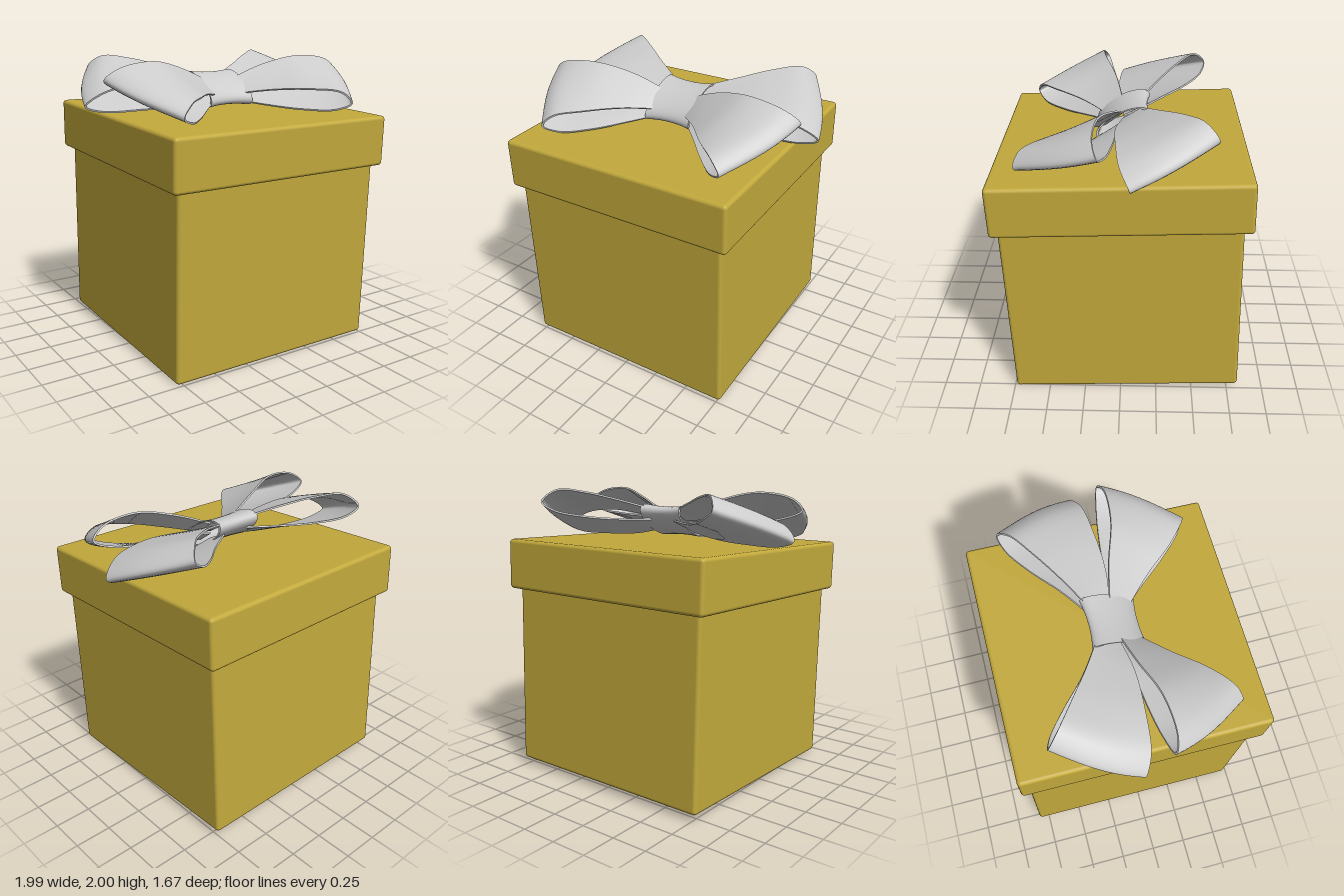
import * as THREE from 'three';
import { toCreasedNormals } from 'three/addons/utils/BufferGeometryUtils.js';
import { RoundedBoxGeometry } from 'three/addons/geometries/RoundedBoxGeometry.js';

const gold = new THREE.MeshStandardMaterial({ color: 0xc2a93c });
const ribbon = new THREE.MeshStandardMaterial({ color: 0xcccccc, side: THREE.DoubleSide });
const BOX_TILT = 0.033;
const KNOT_TILT = 0.49;

function add(parent, name, geometry, material) {
  const mesh = new THREE.Mesh(geometry, material);
  mesh.name = name;
  parent.add(mesh);
  return mesh;
}

// Rounded box, tipped slightly towards the front
function addBox(parent, name, size, centre) {
  const box = add(parent, name, new RoundedBoxGeometry(...size, 4, 0.025), gold);
  box.position.set(...centre);
  box.rotation.x = BOX_TILT;
}

// Ribbon band stretched between two edge curves, with a little thickness
function ribbonLoop(frontEdge, backEdge) {
  const [front, back] = [frontEdge, backEdge].map(
    (pts) => new THREE.CatmullRomCurve3(pts.map((p) => new THREE.Vector3(...p)), false, 'centripetal'));
  const along = 56, across = 10, half = 0.006, ring = 2 * (across + 1);
  const at = (t, s) => {
    const p = front.getPoint(t).lerp(back.getPoint(t), s);
    p.x *= 1 + 0.04 * Math.sin(Math.PI * s) * Math.sin(Math.PI * t);
    return p;
  };
  const normalAt = (t, s) => {
    const e = 0.004;
    const dt = at(Math.min(t + e, 1), s).sub(at(Math.max(t - e, 0), s));
    const ds = at(t, Math.min(s + e, 1)).sub(at(t, Math.max(s - e, 0)));
    return dt.cross(ds).normalize();
  };
  const positions = [], index = [];
  for (let i = 0; i <= along; i++) {
    for (let k = 0; k < ring; k++) {
      const outer = k <= across;
      const s = (outer ? k : ring - 1 - k) / across;
      const t = i / along;
      const p = at(t, s).addScaledVector(normalAt(t, s), outer ? half : -half);
      positions.push(p.x, p.y, p.z);
      if (i === along) continue;
      const a = i * ring + k, b = i * ring + (k + 1) % ring;
      index.push(a, a + ring, b, b, a + ring, b + ring);
    }
  }
  const geometry = new THREE.BufferGeometry();
  geometry.setAttribute('position', new THREE.Float32BufferAttribute(positions, 3));
  geometry.setIndex(index);
  return toCreasedNormals(geometry, 0.9);
}

// Flared oval band wrapped around the middle of the bow
function knotBand() {
  const profile = [];
  const steps = 10;
  for (let i = 0; i <= steps; i++) {
    const v = (i / steps) * 2 - 1;
    profile.push(new THREE.Vector2(0.9 + 0.1 * v * v, v * 0.17));
  }
  for (let i = steps; i >= 0; i--) {
    const p = profile[i];
    profile.push(new THREE.Vector2(p.x - 0.1, p.y));
  }
  profile.push(profile[0].clone());
  const geometry = new THREE.LatheGeometry(profile, 48);
  geometry.scale(0.078, 1, 0.2);
  geometry.rotateZ(Math.PI / 2);
  geometry.rotateX(KNOT_TILT);
  return toCreasedNormals(geometry, 0.7);
}

export function createModel() {
  const model = new THREE.Group();
  model.name = 'giftBox';

  addBox(model, 'boxBody', [1.56, 1.3, 1.56], [-0.01, 0.68, -0.021]);
  addBox(model, 'lid', [1.665, 0.345, 1.665], [-0.01, 1.4625, 0]);

  const bow = new THREE.Group();
  bow.name = 'bow';
  model.add(bow);

  add(bow, 'knot', knotBand(), ribbon).position.y = 1.775;

  // Edges run from the knot over the top, round the tip and back underneath
  const frontLoop = ribbonLoop(
    [[0.1, 1.74, 0.12], [0.28, 1.77, 0.3], [0.45, 1.78, 0.5], [0.6, 1.76, 0.63], [0.67, 1.685, 0.66],
      [0.58, 1.64, 0.6], [0.42, 1.637, 0.44], [0.25, 1.66, 0.25], [0.1, 1.69, 0.1]],
    [[0.1, 1.83, 0], [0.35, 1.93, 0.06], [0.6, 1.985, 0.14], [0.85, 1.95, 0.16], [0.94, 1.88, 0.13],
      [0.8, 1.82, 0.09], [0.55, 1.8, 0.05], [0.3, 1.79, 0.03], [0.1, 1.76, 0]]);
  const backLoop = ribbonLoop(
    [[0.1, 1.78, 0], [0.35, 1.81, 0.04], [0.65, 1.83, 0.03], [0.88, 1.79, 0], [0.99, 1.7, -0.06],
      [0.88, 1.66, -0.05], [0.62, 1.655, -0.03], [0.35, 1.67, 0], [0.1, 1.72, 0]],
    [[0.1, 1.86, -0.13], [0.3, 1.92, -0.25], [0.5, 1.975, -0.39], [0.66, 1.99, -0.51], [0.73, 1.91, -0.59],
      [0.64, 1.85, -0.56], [0.48, 1.81, -0.44], [0.3, 1.79, -0.28], [0.1, 1.79, -0.14]]);

  for (const [side, sign] of [['left', 1], ['right', -1]]) {
    add(bow, side + 'FrontLoop', frontLoop, ribbon).scale.x = sign;
    add(bow, side + 'BackLoop', backLoop, ribbon).scale.x = sign;
  }
  return model;
}
